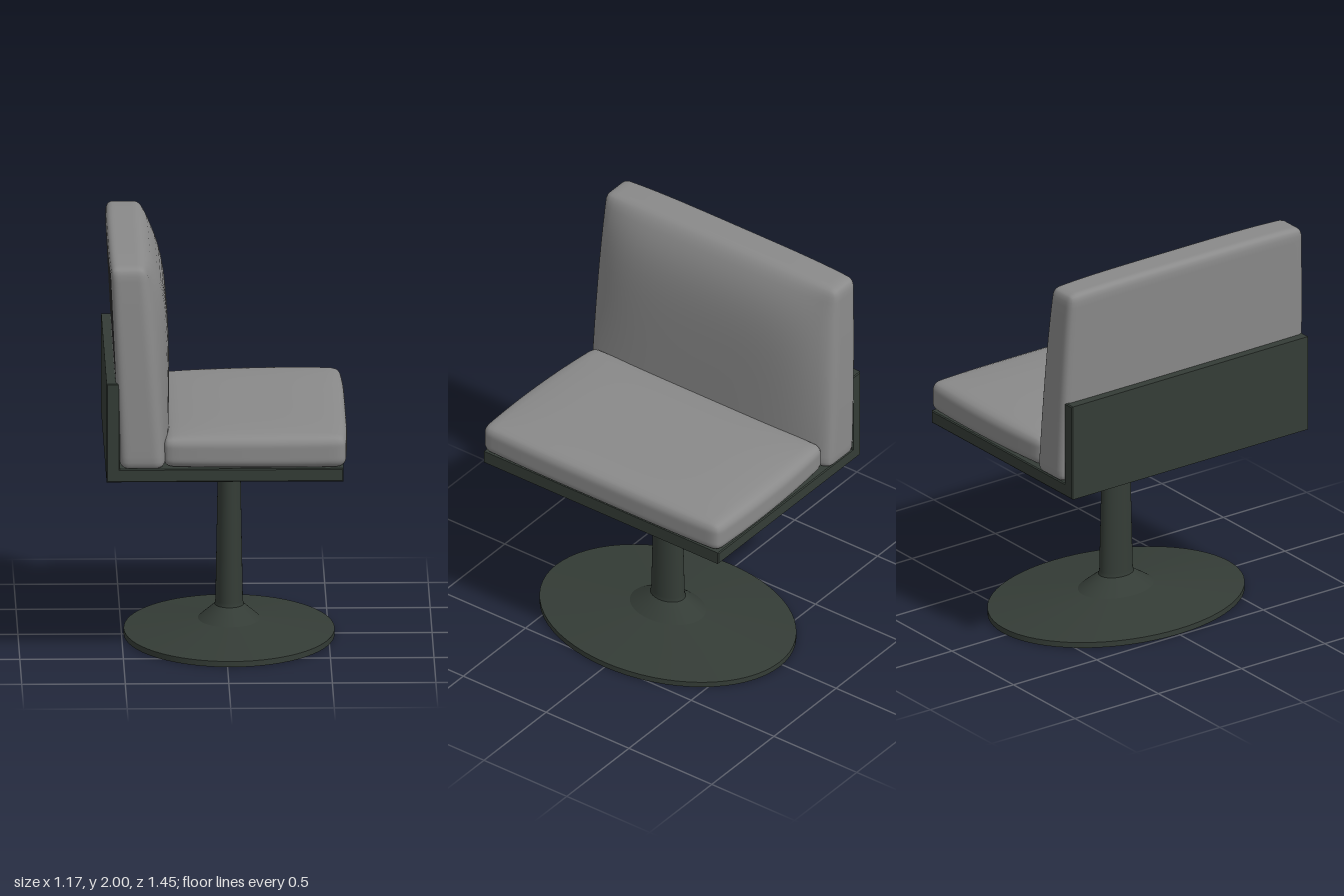
import * as THREE from 'three';
import { mergeVertices } from 'three/addons/utils/BufferGeometryUtils.js';

const frameMaterial = new THREE.MeshStandardMaterial({ color: 0x343c36 });
frameMaterial.name = 'dark green frame';
const cushionMaterial = new THREE.MeshStandardMaterial({ color: 0x8a8a8a });
cushionMaterial.name = 'grey upholstery';

// Rounded block with dense edges, reshaped by warp(p), where p keeps the half sizes h
function cushionGeometry(h, r, warp) {
  const source = new THREE.BoxGeometry(2, 2, 2, 20, 24, 28);
  source.deleteAttribute('uv');
  source.deleteAttribute('normal');
  const geometry = mergeVertices(source, 1e-5);
  const pos = geometry.attributes.position;
  const inner = h.clone().subScalar(r);
  const p = new THREE.Vector3();
  const core = new THREE.Vector3();
  for (let i = 0; i < pos.count; i++) {
    p.fromBufferAttribute(pos, i);
    for (const a of ['x', 'y', 'z']) p[a] = Math.sin(p[a] * Math.PI / 2) * h[a];
    core.copy(p).clamp(inner.clone().negate(), inner);
    p.sub(core);
    if (p.lengthSq() > 0) p.setLength(Math.min(r, Math.max(Math.abs(p.x), Math.abs(p.y), Math.abs(p.z))));
    p.add(core);
    warp(p);
    pos.setXYZ(i, p.x, p.y, p.z);
  }
  geometry.computeVertexNormals();
  return geometry;
}

export function createModel() {
  const group = new THREE.Group();
  const add = (name, geometry, material, x = 0, y = 0, z = 0) => {
    const mesh = new THREE.Mesh(geometry, material);
    mesh.name = name;
    mesh.position.set(x, y, z);
    group.add(mesh);
    return mesh;
  };

  // Oval pedestal pieces: each profile is a list of [radius, height]
  const oval = (name, profile) => {
    const points = profile.map(([r, y]) => new THREE.Vector2(r, y));
    add(name, new THREE.LatheGeometry(points, 64), frameMaterial, 0.02).scale.x = 0.755;
  };
  oval('baseUnderside', [[0, 0], [0.67, 0]]);
  oval('baseRim', [[0.675, 0], [0.675, 0.028]]);
  oval('baseDisc', [[0.675, 0.028], [0.2, 0.08]]);
  oval('baseCollar', [[0.2, 0.08], [0.093, 0.15]]);
  oval('column', [[0.093, 0.15], [0.088, 0.17], [0.071, 0.9]]);
  oval('seatMount', [[0.071, 0.9], [0.13, 0.903], [0.26, 0.932]]);

  // L-shaped shell that carries the cushions
  const shell = new THREE.Shape([
    [-0.58, 0.935], [0.555, 0.935], [0.555, 0.99], [-0.525, 0.99], [-0.525, 1.415], [-0.58, 1.415],
  ].map(([x, y]) => new THREE.Vector2(x, y)));
  add('seatShell', new THREE.ExtrudeGeometry(shell, {
    depth: 1.41, bevelThickness: 0.005, bevelSize: 0.005, bevelSegments: 1,
  }), frameMaterial, 0, 0, -0.705);

  // Seat cushion with a gently crowned top and softly bowed sides
  const seatHalf = new THREE.Vector3(0.44, 0.075, 0.705);
  add('seatCushion', cushionGeometry(seatHalf, 0.045, (p) => {
    const u = p.x / seatHalf.x, v = (p.y / seatHalf.y + 1) / 2, w = p.z / seatHalf.z;
    p.y += v * 0.026 * (1 - Math.abs(u) ** 3) * (1 - w ** 6) + v * 0.006 * u;
    p.z *= 1 + 0.028 * (1 - (u - 0.25) ** 2);
    p.x += 0.012 * Math.max(0, u) * (1 - w ** 4);
  }), cushionMaterial, 0.13, 1.07, 0);

  // Back cushion: leans backwards, narrows upwards and bulges at the front
  const backHalf = new THREE.Vector3(0.1, 0.5, 0.72);
  add('backCushion', cushionGeometry(backHalf, 0.042, (p) => {
    const t = (p.x / backHalf.x + 1) / 2, v = p.y / backHalf.y / 2 + 0.5, w = p.z / backHalf.z;
    const bulge = (1 - v ** 6) * (0.035 + 0.085 * v) * (1 - Math.abs(w) ** 5);
    const front = -0.31 - 0.085 * v + bulge;
    const rear = -0.52 - 0.045 * v - 0.008 * v * (1 - w ** 4);
    p.x = rear + (front - rear) * t;
    p.y = 0.992 + v * (1.008 - 0.012 * w ** 4);
    p.z *= 1.01 - 0.04 * v ** 2;
  }), cushionMaterial);

  return group;
}
